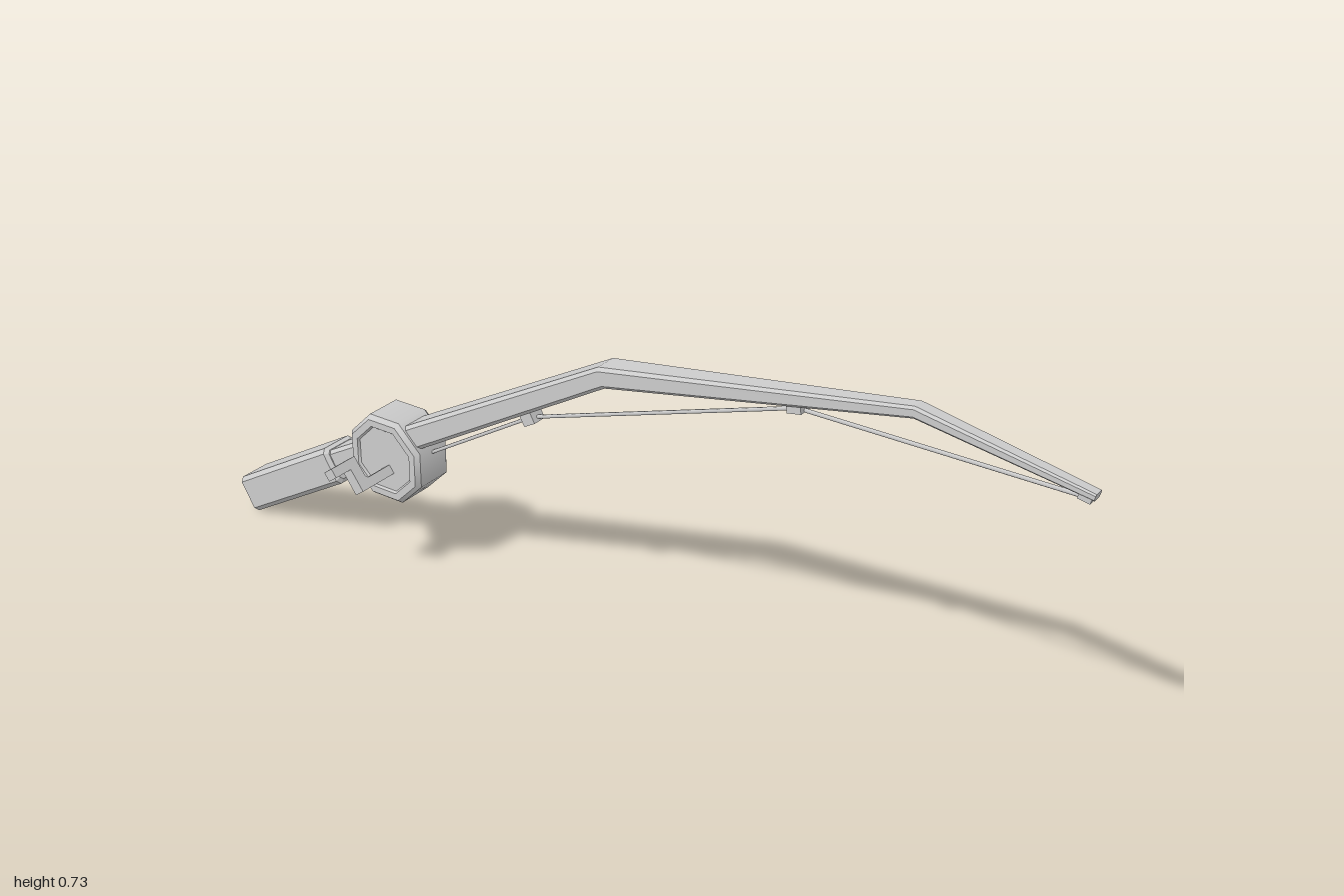
import * as THREE from 'three';
import { mergeGeometries } from 'three/addons/utils/BufferGeometryUtils.js';

const Z = -0.068; // centre plane of the rod

const flat = new THREE.MeshStandardMaterial({ color: 0xcccccc, flatShading: true });
const smooth = new THREE.MeshStandardMaterial({ color: 0xcccccc });

function add(group, name, geometry, material = flat) {
  const mesh = new THREE.Mesh(geometry, material);
  mesh.name = name;
  group.add(mesh);
  return mesh;
}

// Loft of chamfered rectangles; each section is { x, y, tilt, h, w, c }
// with half height h, half width w and chamfer c.
function loft(sections) {
  const pos = [], index = [], n = 8;
  for (const { x, y, tilt, h, w, c } of sections) {
    const ring = [[h, -w + c], [h, w - c], [h - c, w], [-h + c, w],
      [-h, w - c], [-h, -w + c], [-h + c, -w], [h - c, -w]];
    for (const [a, b] of ring) pos.push(x - Math.sin(tilt) * a, y + Math.cos(tilt) * a, Z + b);
  }
  const last = (sections.length - 1) * n;
  for (let s = 0; s < last; s += n) {
    for (let j = 0; j < n; j++) {
      const k = (j + 1) % n;
      index.push(s + j, s + k, s + n + k, s + j, s + n + k, s + n + j);
    }
  }
  for (let j = 1; j < n - 1; j++) {
    index.push(0, j + 1, j, last, last + j, last + j + 1);
  }
  const g = new THREE.BufferGeometry();
  g.setAttribute('position', new THREE.Float32BufferAttribute(pos, 3));
  g.setIndex(index);
  g.computeVertexNormals();
  return g;
}

// Octagonal drum along z, smooth around and sharp between profile bands
function drum(profile) {
  const bands = [];
  for (let i = 0; i < profile.length - 1; i++) {
    const pts = [profile[i], profile[i + 1]].map(([r, y]) => new THREE.Vector2(r, y));
    bands.push(new THREE.LatheGeometry(pts, 8));
  }
  return mergeGeometries(bands).rotateY(Math.PI / 8).rotateX(Math.PI / 2);
}

export function createModel() {
  const model = new THREE.Group();
  model.name = 'fishingRod';

  // Grip with bevelled ends
  const tilt = 0.53, gx = Math.cos(tilt), gy = Math.sin(tilt);
  const gripAt = (t, inset) => ({
    x: -0.976 + gx * t, y: 0.04 + gy * t, tilt,
    h: 0.043 - inset, w: 0.048 - inset, c: 0.01 - inset * 0.4,
  });
  add(model, 'grip', loft([gripAt(0, 0.008), gripAt(0.008, 0), gripAt(0.317, 0), gripAt(0.325, 0.008)]));

  // Tapering bent pole
  add(model, 'pole', loft([
    { x: -0.72, y: 0.196, tilt: 0.52, h: 0.029, w: 0.038, c: 0.008 },
    { x: -0.45, y: 0.35, tilt: 0.52, h: 0.028, w: 0.037, c: 0.008 },
    { x: 0.01, y: 0.612, tilt: 0.35, h: 0.022, w: 0.032, c: 0.007 },
    { x: 0.66, y: 0.726, tilt: -0.01, h: 0.012, w: 0.018, c: 0.005 },
    { x: 0.996, y: 0.667, tilt: -0.18, h: 0.007, w: 0.013, c: 0.003 },
  ]));

  // Reel drum with a shallow recess on both faces
  const half = [[0.103, 0.042], [0.094, 0.052], [0.078, 0.052], [0.074, 0.047], [0, 0.047]];
  const profile = [...half.map(([r, y]) => [r, -y]).reverse(), ...half];
  add(model, 'reel', drum(profile), smooth).position.set(-0.539, 0.272, Z);

  // Cranked handle: stepped outline in (along, z), extruded to its width
  const s = new THREE.Shape();
  s.moveTo(-0.037, -0.04);
  s.lineTo(-0.037, 0.078);
  s.lineTo(0.016, 0.078);
  s.lineTo(0.016, 0.123);
  s.lineTo(0.037, 0.123);
  s.lineTo(0.037, 0.052);
  s.lineTo(-0.008, 0.052);
  s.quadraticCurveTo(-0.016, 0.05, -0.016, 0.042);
  s.lineTo(-0.016, -0.04);
  s.closePath();
  const crank = new THREE.ExtrudeGeometry(s, { depth: 0.026, bevelEnabled: false });
  crank.translate(0, 0, -0.013);
  const along = new THREE.Vector3(-0.59, 0.807, 0).normalize();
  const out = new THREE.Vector3(0, 0, 1);
  crank.applyMatrix4(new THREE.Matrix4().makeBasis(along, out, along.clone().cross(out)));
  add(model, 'crank', crank).position.set(-0.547, 0.268, 0);

  // Line guides under the pole: x, y, tilt, length, height, width
  const guides = [
    [-0.178, 0.464, 0.52, 0.03, 0.028, 0.034],
    [0.425, 0.664, 0.18, 0.03, 0.02, 0.03],
    [0.978, 0.66, -0.18, 0.024, 0.01, 0.024],
  ];
  for (const [x, y, a, l, h, w] of guides) {
    const guide = add(model, 'lineGuide', new THREE.BoxGeometry(l, h, w));
    guide.position.set(x, y, Z);
    guide.rotation.z = a;
  }

  // Taut line from reel to tip
  const knots = [[-0.47, 0.284], [-0.178, 0.462], [0.425, 0.66], [0.99, 0.658]]
    .map(([x, y]) => new THREE.Vector3(x, y, Z));
  for (let i = 0; i < 3; i++) {
    const path = new THREE.LineCurve3(knots[i], knots[i + 1]);
    add(model, 'line', new THREE.TubeGeometry(path, 1, 0.004, 6), smooth);
  }

  return model;
}
